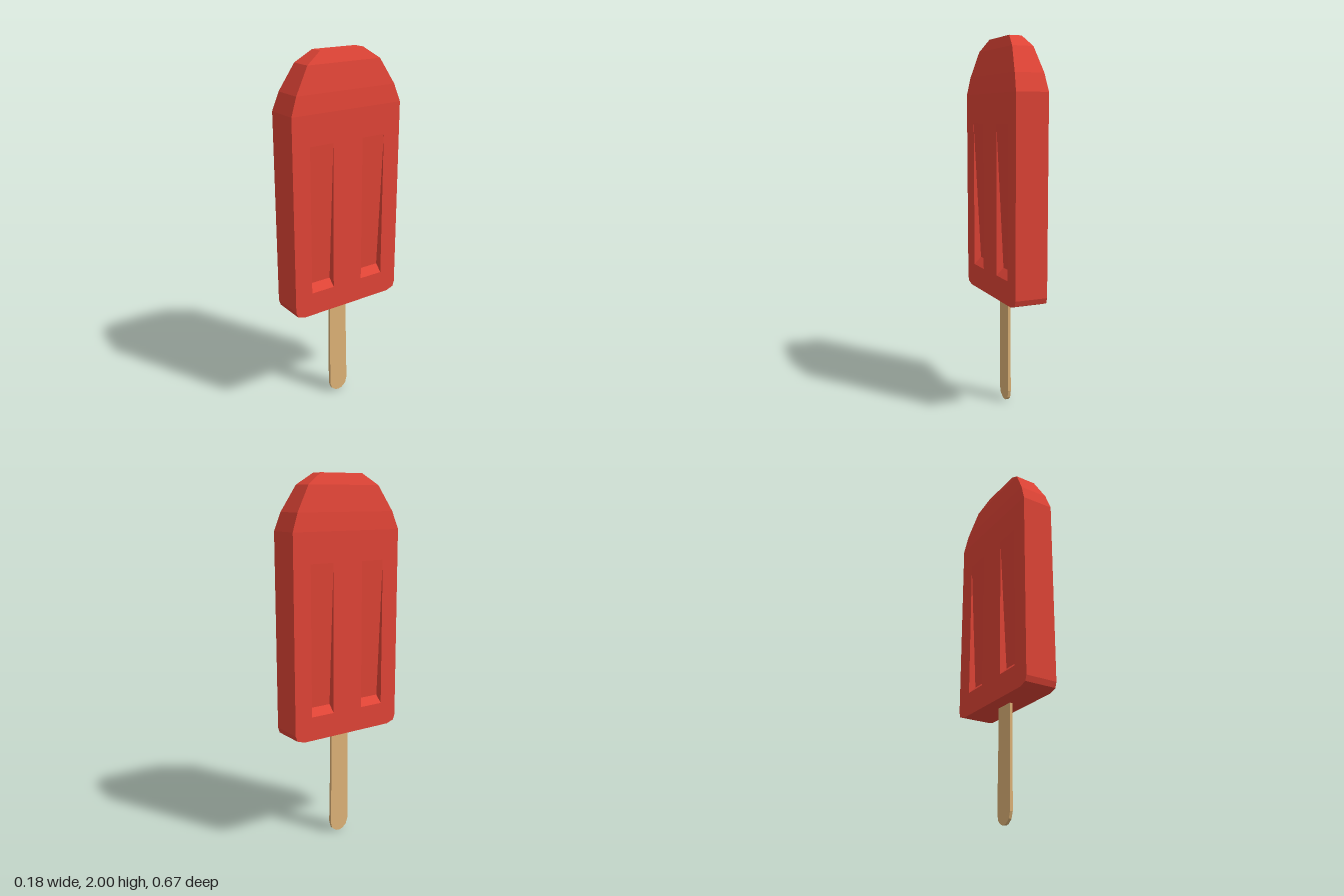
import * as THREE from 'three';

const RED = new THREE.MeshStandardMaterial({ color: 0xe04436, flatShading: true });
const WOOD = new THREE.MeshStandardMaterial({ color: 0xdeb377, flatShading: true });

// Half outline of the ice: half-depth z, height y, half-thickness w
const BASE = [[0, 0.615, 0.09], [0.28, 0.615, 0.09], [0.325, 0.63, 0.09], [0.335, 0.66, 0.09], [0.335, 1.71, 0.09]];
const DOME = [[0.335, 1.71, 0.09], [0.3, 1.805, 0.081], [0.22, 1.94, 0.059], [0.13, 2, 0.035]];

// Wedge grooves: z range, foot, deepest point and top
const GROOVE = { z0: 0.092, z1: 0.232, foot: 0.745, deepY: 0.785, top: 1.55, deepX: 0.05 };

// Collects convex polygons as flat triangles; flip reverses the winding for mirrored parts
function makeFacets() {
  const pos = [];
  return {
    add(points, flip = false) {
      const p = flip ? [...points].reverse() : points;
      for (let i = 1; i < p.length - 1; i++) pos.push(...p[0], ...p[i], ...p[i + 1]);
    },
    build() {
      const g = new THREE.BufferGeometry();
      g.setAttribute('position', new THREE.Float32BufferAttribute(pos, 3));
      g.computeVertexNormals();
      return g;
    },
  };
}

function addMesh(group, name, geometry, material) {
  const mesh = new THREE.Mesh(geometry, material);
  mesh.name = name;
  group.add(mesh);
  return mesh;
}

// Narrow rim running around the outline
function rimGeometry() {
  const f = makeFacets();
  const outline = [...BASE, ...DOME.slice(1), [0, 2, 0.035]];
  for (const s of [1, -1]) {
    for (let i = 0; i < outline.length - 1; i++) {
      const [z, y, w] = outline[i];
      const [z2, y2, w2] = outline[i + 1];
      f.add([[-w, y, s * z], [w, y, s * z], [w2, y2, s * z2], [-w2, y2, s * z2]], s < 0);
    }
  }
  return f.build();
}

// Tapered broad faces of the dome
function domeGeometry() {
  const f = makeFacets();
  for (const s of [1, -1]) {
    for (let i = 0; i < DOME.length - 1; i++) {
      const [z, y, w] = DOME[i];
      const [z2, y2, w2] = DOME[i + 1];
      f.add([[s * w, y, z], [s * w, y, -z], [s * w2, y2, -z2], [s * w2, y2, z2]], s < 0);
    }
  }
  return f.build();
}

// Flat broad face with two groove openings
function panelGeometry() {
  const half = BASE.slice(1).map(([z, y]) => new THREE.Vector2(z, y));
  const mirrored = half.map((p) => new THREE.Vector2(-p.x, p.y)).reverse();
  const shape = new THREE.Shape([...half, ...mirrored]);
  const { z0, z1, foot, top } = GROOVE;
  for (const s of [1, -1]) {
    shape.holes.push(new THREE.Path([[z0, foot], [z0, top], [z1, top], [z1, foot]]
      .map(([z, y]) => new THREE.Vector2(s * z, y))));
  }
  return new THREE.ShapeGeometry(shape);
}

// Recesses, deepest at the foot and fading out at the top
function grooveGeometry() {
  const f = makeFacets();
  const { z0, z1, foot, deepY, top, deepX } = GROOVE;
  for (const s of [1, -1]) {
    const x = s * 0.09;
    const d = s * deepX;
    for (const [a, b] of [[z0, z1], [-z1, -z0]]) {
      f.add([[d, deepY, b], [d, deepY, a], [x, top, a], [x, top, b]], s < 0);
      f.add([[x, foot, b], [x, foot, a], [d, deepY, a], [d, deepY, b]], s < 0);
      f.add([[x, foot, a], [x, top, a], [d, deepY, a]], s < 0);
      f.add([[x, foot, b], [x, top, b], [d, deepY, b]], s > 0);
    }
  }
  return f.build();
}

// Thin stick with a rounded foot, slightly narrower on one edge
function stickGeometry() {
  const pts = [[-0.06, 0.65], [-0.06, 0.06], [-0.048, 0.025], [-0.022, 0.004], [0, 0],
    [0.022, 0.004], [0.048, 0.025], [0.058, 0.065], [0.051, 0.4], [0.05, 0.65]];
  const shape = new THREE.Shape(pts.map(([u, y]) => new THREE.Vector2(u, y)));
  return new THREE.ExtrudeGeometry(shape, { depth: 0.016, bevelEnabled: false })
    .translate(0, 0, -0.01)
    .rotateY(Math.PI / 2);
}

export function createModel() {
  const model = new THREE.Group();
  model.name = 'icePop';

  const ice = new THREE.Group();
  ice.name = 'iceBody';
  addMesh(ice, 'rim', rimGeometry(), RED);
  addMesh(ice, 'dome', domeGeometry(), RED);
  addMesh(ice, 'grooves', grooveGeometry(), RED);
  for (const [s, name] of [[1, 'leftPanel'], [-1, 'rightPanel']]) {
    const panel = addMesh(ice, name, panelGeometry(), RED);
    panel.rotation.y = s * Math.PI / 2;
    panel.position.x = s * 0.09;
  }
  model.add(ice);

  addMesh(model, 'stick', stickGeometry(), WOOD);
  return model;
}
